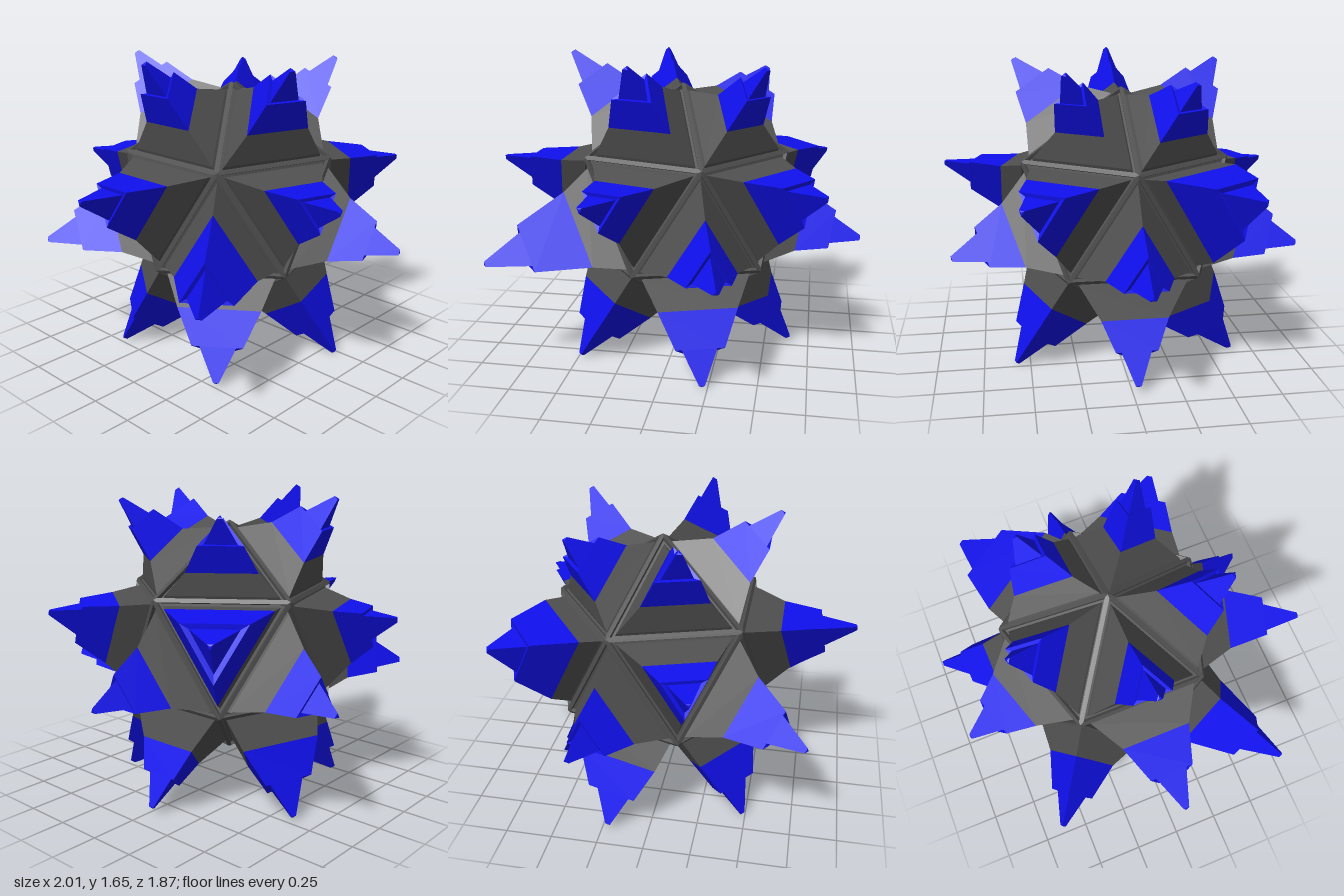
import * as THREE from 'three';

const grey = new THREE.MeshStandardMaterial({ color: 0x505050, flatShading: true, side: THREE.DoubleSide });
const blue = new THREE.MeshStandardMaterial({ color: 0x1010ee, flatShading: true, side: THREE.DoubleSide });

// Three-sided solid from a profile of [half edge length, height along the face normal]
function triangular(name, profile, material) {
  const points = profile.map(([w, h]) => new THREE.Vector2(w * 1.1547, h));
  const mesh = new THREE.Mesh(new THREE.LatheGeometry(points, 3), material);
  mesh.name = name;
  return mesh;
}

// One icosahedron face: edge rim, groove, tapered grey block and stepped blue spike
function createFace(width, start, length) {
  const face = new THREE.Group();
  face.name = 'spikedFace';
  const step = 0.51 + (length - 0.51) * 0.67;
  const outer = width * 0.56 + 0.012;
  const inner = outer * 0.73;
  face.add(triangular('facePanel', [
    [0.337, 0.509], [0.318, 0.513], [0.311, 0.492], [0.29, 0.492], [0.283, 0.508], [width, start],
  ], grey));
  face.add(triangular('spike', [
    [width, start], [outer, step], [inner, step - 0.008], [0.015, length], [0, length + 0.003],
  ], blue));
  return face;
}

// Rings of five faces: normal height, normal radius, first angle, corner direction,
// then [spike half width, spike start, tip distance] for each face
const rings = [
  { name: 'topFaces', ny: 0.7947, nr: 0.607, first: 36, up: 1,
    spikes: [[0.14, 0.63, 0.95], [0.177, 0.655, 0.975], [0.155, 0.66, 1.0], [0.17, 0.65, 0.965], [0.18, 0.61, 0.875]] },
  { name: 'upperFaces', ny: 0.1876, nr: 0.9822, first: 36, up: -1,
    spikes: [[0.205, 0.65, 0.98], [0.168, 0.66, 1.03], [0.18, 0.674, 1.045], [0.18, 0.66, 0.93], [0.266, 0.615, 0.985]] },
  { name: 'lowerFaces', ny: -0.1876, nr: 0.9822, first: 0, up: 1,
    spikes: [[0.17, 0.66, 0.992], [0.177, 0.66, 0.98], [0.21, 0.66, 1.145], [0.18, 0.66, 1.034], [0.18, 0.66, 0.97]] },
  { name: 'bottomFaces', ny: -0.7947, nr: 0.607, first: 0, up: -1,
    spikes: [[0.175, 0.687, 1.01], [0.21, 0.675, 1.045], [0.22, 0.675, 1.037], [0.21, 0.675, 1.035], [0.23, 0.675, 1.03]] },
];

export function createModel() {
  const model = new THREE.Group();
  model.name = 'spikedIcosahedron';
  for (const { name, ny, nr, first, up, spikes } of rings) {
    const ring = new THREE.Group();
    ring.name = name;
    spikes.forEach(([width, start, length], k) => {
      const a = THREE.MathUtils.degToRad(first + 72 * k);
      const normal = new THREE.Vector3(nr * Math.cos(a), ny, nr * Math.sin(a)).normalize();
      // Corner of the triangle points up or down within the face plane
      const corner = new THREE.Vector3(0, up, 0).addScaledVector(normal, -up * normal.y).normalize();
      const across = new THREE.Vector3().crossVectors(normal, corner);
      const face = createFace(width, start, length);
      face.quaternion.setFromRotationMatrix(new THREE.Matrix4().makeBasis(across, normal, corner));
      ring.add(face);
    });
    model.add(ring);
  }
  model.position.set(0.025, 0.845, -0.028);
  const root = new THREE.Group();
  root.add(model);
  return root;
}
